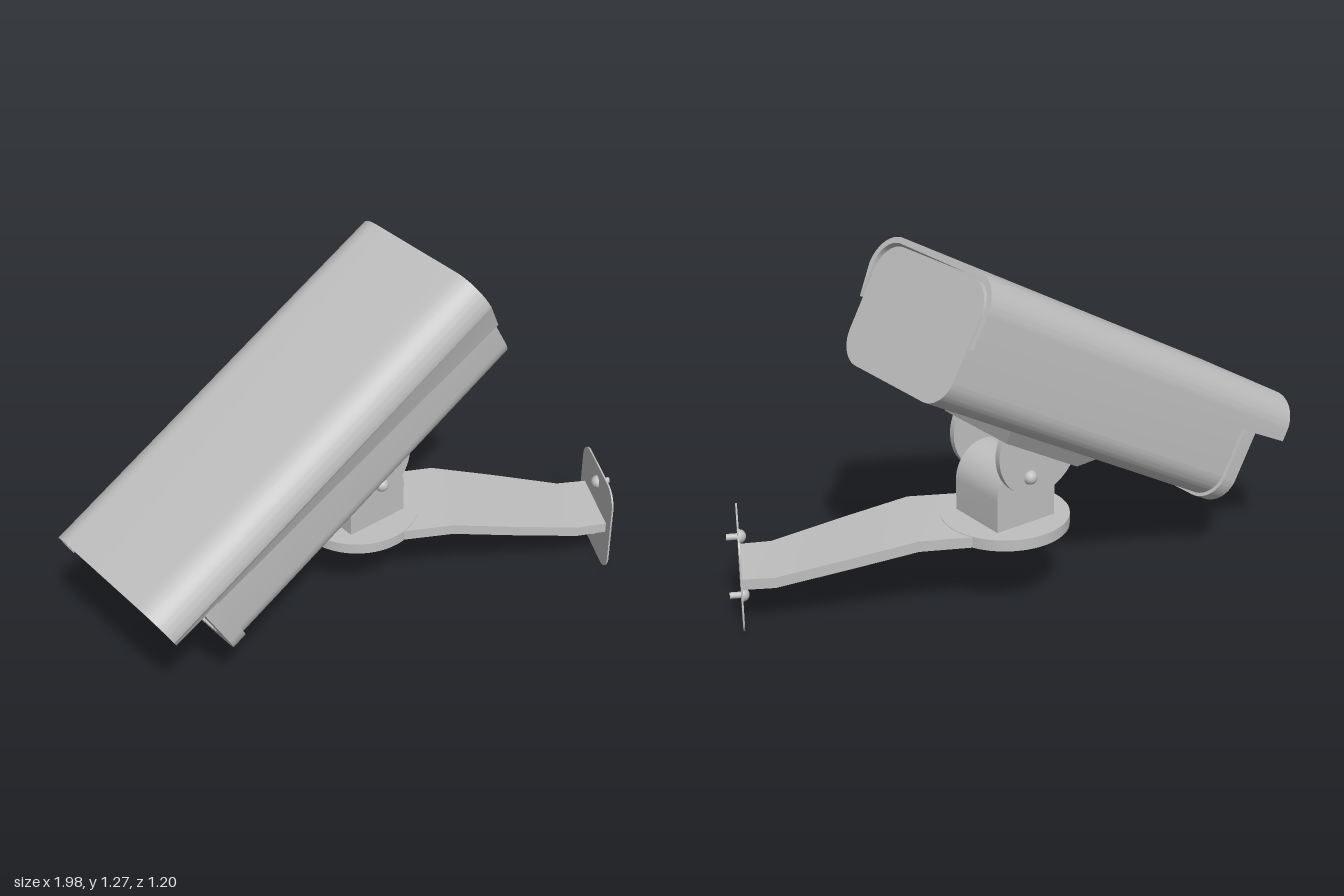
import * as THREE from 'three';
import { toCreasedNormals } from 'three/addons/utils/BufferGeometryUtils.js';

const rad = THREE.MathUtils.degToRad;
const grey = new THREE.MeshStandardMaterial({ color: 0xbfbfbf });
grey.name = 'grey metal';

function add(parent, name, geometry, x = 0, y = 0, z = 0) {
  const mesh = new THREE.Mesh(geometry, grey);
  mesh.name = name;
  mesh.position.set(x, y, z);
  parent.add(mesh);
  return mesh;
}

// Rounded rectangle between y0 and y1, half-width w
function roundRect(w, y0, y1, r, Type = THREE.Shape) {
  const s = new Type();
  s.moveTo(-w + r, y0);
  s.lineTo(w - r, y0);
  s.absarc(w - r, y0 + r, r, -Math.PI / 2, 0);
  s.absarc(w - r, y1 - r, r, 0, Math.PI / 2);
  s.absarc(-w + r, y1 - r, r, Math.PI / 2, Math.PI);
  s.absarc(-w + r, y0 + r, r, Math.PI, Math.PI * 1.5);
  return s;
}

// Extrude a shape along z from z0 to z1
function extrude(shape, z0, z1) {
  const g = new THREE.ExtrudeGeometry(shape, { depth: z1 - z0, bevelEnabled: false, curveSegments: 12 });
  g.translate(0, 0, z0);
  return toCreasedNormals(g, 0.5);
}

// Move every vertex of a geometry by a rule, then rebuild its normals
function reshape(g, rule) {
  const p = g.attributes.position;
  const v = new THREE.Vector3();
  for (let i = 0; i < p.count; i++) {
    rule(v.fromBufferAttribute(p, i));
    p.setXYZ(i, v.x, v.y, v.z);
  }
  return toCreasedNormals(g, 0.5);
}

// Thin open-bottomed cover whose lower edge rises toward the front
function hoodGeometry() {
  const w = 0.318, top = 0.924, low = 0.735, r = 0.115, t = 0.02;
  const s = new THREE.Shape();
  s.moveTo(w, low);
  s.absarc(w - r, top - r, r, 0, Math.PI / 2);
  s.absarc(-w + r, top - r, r, Math.PI / 2, Math.PI);
  s.lineTo(-w, low);
  s.lineTo(-w + t, low);
  s.absarc(-w + r, top - r, r - t, Math.PI, Math.PI / 2, true);
  s.absarc(w - r, top - r, r - t, Math.PI / 2, 0, true);
  s.lineTo(w - t, low);
  s.closePath();
  return reshape(extrude(s, -0.95, 0.542), (v) => {
    if (v.y < low + 0.01) v.y = v.z < 0 ? 0.697 : 0.772;
  });
}

// Camera housing with its hinge ears, tilted as one unit
function makeHousing() {
  const cam = new THREE.Group();
  cam.name = 'cameraHousing';
  cam.rotation.set(rad(29), rad(-62), 0, 'YXZ');
  cam.position.set(-0.05, 0, -0.0945);

  add(cam, 'hood', hoodGeometry());
  add(cam, 'body', extrude(roundRect(0.286, 0.49, 0.897, 0.1), -0.946, 0.38));
  const ring = roundRect(0.299, 0.479, 0.902, 0.11);
  ring.holes.push(roundRect(0.237, 0.541, 0.842, 0.07, THREE.Path));
  add(cam, 'frontBezel', extrude(ring, 0.355, 0.412));

  // Chamfered pad under the body
  const pad = reshape(new THREE.BoxGeometry(0.41, 0.05, 0.41), (v) => {
    if (v.y < 0) { v.x *= 0.82; v.z *= 0.82; }
  });
  add(cam, 'mountPad', pad, 0, 0.47, -0.37);

  for (const side of [-1, 1]) {
    const ear = add(cam, 'hingeEar', new THREE.CylinderGeometry(0.163, 0.163, 0.022, 48), side * 0.126, 0.46, -0.365);
    ear.rotation.z = Math.PI / 2;
    const head = add(cam, 'hingeScrew',
      new THREE.SphereGeometry(0.025, 20, 10, 0, Math.PI * 2, 0, Math.PI / 2), side * 0.136, 0.36, -0.352);
    head.rotation.z = -side * Math.PI / 2;
  }
  return cam;
}

// Turntable, hinge post, cranked arm and wall plate
function makeBracket() {
  const b = new THREE.Group();
  b.name = 'wallBracket';
  const cx = 0.068, cz = -0.158;

  add(b, 'turntable', new THREE.CylinderGeometry(0.218, 0.218, 0.04, 64), cx, 0.289, cz);

  const profile = new THREE.Shape();
  profile.moveTo(-0.119, 0.3);
  profile.lineTo(0.119, 0.3);
  profile.absarc(0, 0.42, 0.119, 0, Math.PI);
  const post = add(b, 'hingePost', extrude(profile, -0.115, 0.115), cx, 0, cz);
  post.rotation.y = rad(-62 + 90);

  // Arm stations: x, top height, half-width
  const stations = [[0.2, 0.307, 0.17], [0.38, 0.307, 0.172], [0.6, 0.255, 0.157], [0.85, 0.195, 0.134], [0.96, 0.195, 0.13]];
  const n = stations.length - 1;
  const arm = reshape(new THREE.BoxGeometry(n, 1, 1, n, 1, 1), (v) => {
    const [x, top, half] = stations[Math.round(v.x + n / 2)];
    v.set(x, v.y > 0 ? top : top - 0.038, v.z * 2 * half);
  });
  add(b, 'arm', arm, 0, 0, cz);

  const plate = add(b, 'wallPlate', extrude(roundRect(0.175, 0, 0.352, 0.07), -0.003, 0.003), 0.96, 0, cz);
  plate.rotation.y = Math.PI / 2;

  for (const y of [0.07, 0.288]) {
    const head = add(b, 'wallScrewHead',
      new THREE.SphereGeometry(0.024, 20, 10, 0, Math.PI * 2, 0, Math.PI / 2), 0.958, y, cz);
    head.rotation.z = Math.PI / 2;
    const shaft = add(b, 'wallScrewShaft', new THREE.CylinderGeometry(0.011, 0.011, 0.044, 16), 0.978, y, cz);
    shaft.rotation.z = Math.PI / 2;
  }
  return b;
}

export function createModel() {
  const model = new THREE.Group();
  model.name = 'securityCamera';
  model.add(makeHousing(), makeBracket());
  return model;
}
